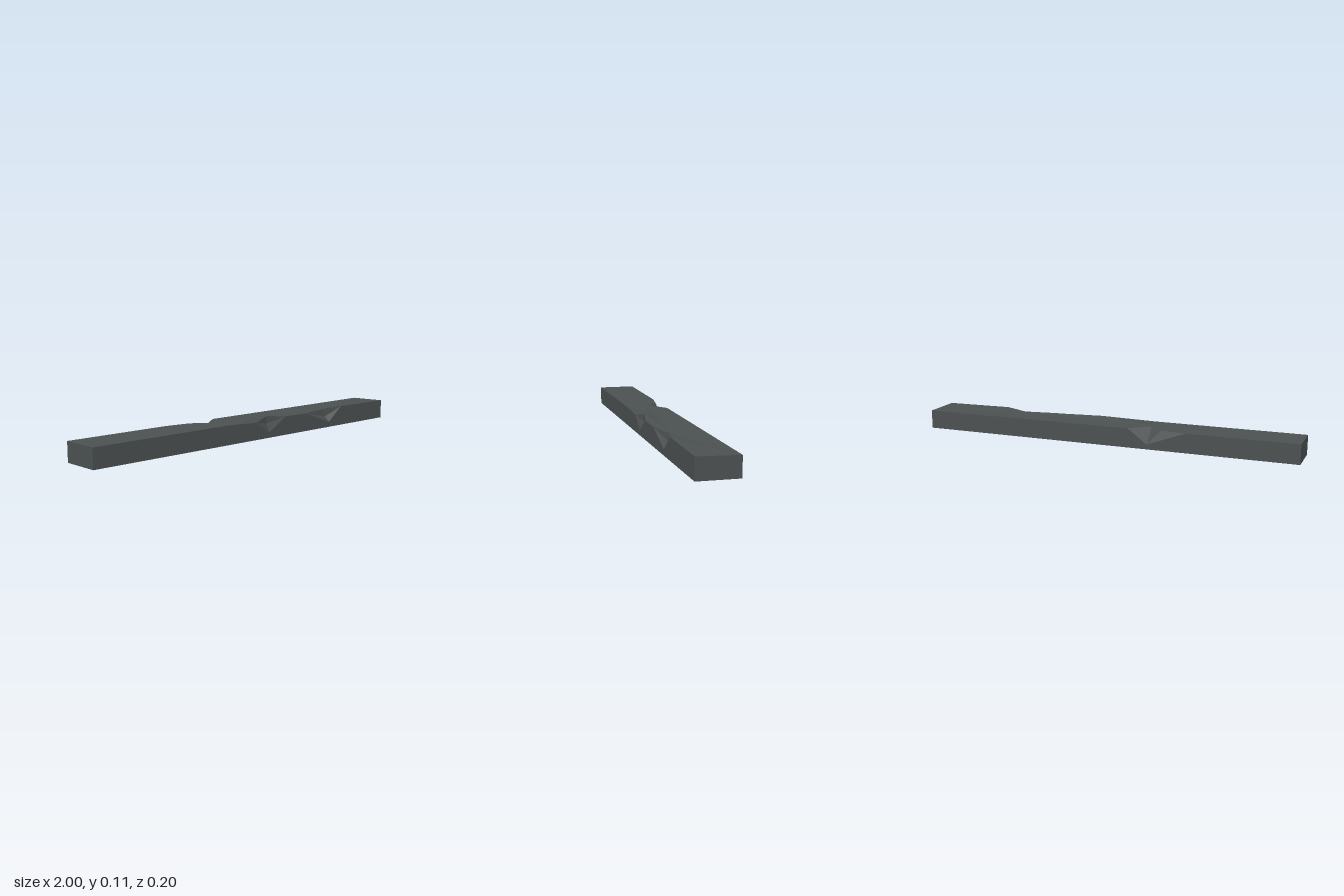
import * as THREE from 'three';

export function createModel() {
  const group = new THREE.Group();
  const concrete = new THREE.MeshStandardMaterial({ color: 0x4b5050, side: THREE.DoubleSide, flatShading: true });
  concrete.name = 'dark concrete';
  const P = (x, y, z) => new THREE.Vector3(x, y, z);

  // Triangles turned so that they face the outward direction
  function addPart(name, triangles, outward) {
    const points = [];
    for (const [a, b, c] of triangles) {
      const n = b.clone().sub(a).cross(c.clone().sub(a));
      points.push(...(n.dot(outward) < 0 ? [a, c, b] : [a, b, c]));
    }
    const geometry = new THREE.BufferGeometry().setFromPoints(points);
    geometry.computeVertexNormals();
    const mesh = new THREE.Mesh(geometry, concrete);
    mesh.name = name;
    group.add(mesh);
  }

  // Fills an outline after flattening it onto two axes
  function addPanel(name, outline, u, v, outward) {
    const flat = outline.map(p => new THREE.Vector2(p[u], p[v]));
    const faces = THREE.ShapeUtils.triangulateShape(flat, []);
    addPart(name, faces.map(f => f.map(i => outline[i])), outward);
  }

  const front = P(0, 0, 1), back = P(0, 0, -1), up = P(0, 1, 0);

  // Bottom and top corners
  const bottom = [P(-1, 0, 0.1), P(1, 0, 0.1), P(1, 0, -0.1), P(-1, 0, -0.1)];
  const top = [P(-1, 0.098, 0.1), P(1, 0.102, 0.1), P(1, 0.097, -0.1), P(-1, 0.098, -0.1)];

  // Chips broken out of the front edge: left, right, top, lowest and middle points
  const sag = P(-0.23, 0.098, 0.1);
  const chips = [
    { l: P(-0.03, 0.089, 0.1), r: P(0.18, 0.098, 0.1), t: P(0.06, 0.109, 0.075), b: P(0.06, 0.027, 0.1), m: P(0.06, 0.072, 0.078) },
    { l: P(0.34, 0.096, 0.1), r: P(0.63, 0.106, 0.1), t: P(0.51, 0.098, 0.066), b: P(0.53, 0.028, 0.1), m: P(0.525, 0.055, 0.073) },
  ];
  chips.forEach(({ l, r, t, b, m }) =>
    addPart('frontChip', [[l, t, m], [t, r, m], [l, m, b], [m, r, b]], front));

  // Chip broken out of the back edge
  const bl = P(-0.15, 0.098, -0.1), bt = P(-0.25, 0.1, -0.02), bs = P(-0.32, 0.098, -0.08);
  const br = P(-0.45, 0.098, -0.1), bb = P(-0.25, 0.025, -0.1);
  addPart('backChip', [[bl, bt, bb], [bt, bs, bb], [bs, br, bb]], back);

  // Top surface following the chipped edges
  const [c1, c2] = chips;
  addPanel('topSurface', [top[0], sag, c1.l, c1.t, c1.r, c2.l, c2.t, c2.r, top[1], top[2], bl, bt, bs, br, top[3]], 'x', 'z', up);

  // Long walls and ends; the underside stays open
  addPanel('frontWall', [bottom[0], bottom[1], top[1], c2.r, c2.b, c2.l, c1.r, c1.b, c1.l, sag, top[0]], 'x', 'y', front);
  addPanel('backWall', [bottom[3], bottom[2], top[2], bl, bb, br, top[3]], 'x', 'y', back);
  addPanel('leftEnd', [bottom[1], bottom[2], top[2], top[1]], 'z', 'y', P(1, 0, 0));
  addPanel('rightEnd', [bottom[0], bottom[3], top[3], top[0]], 'z', 'y', P(-1, 0, 0));

  return group;
}
